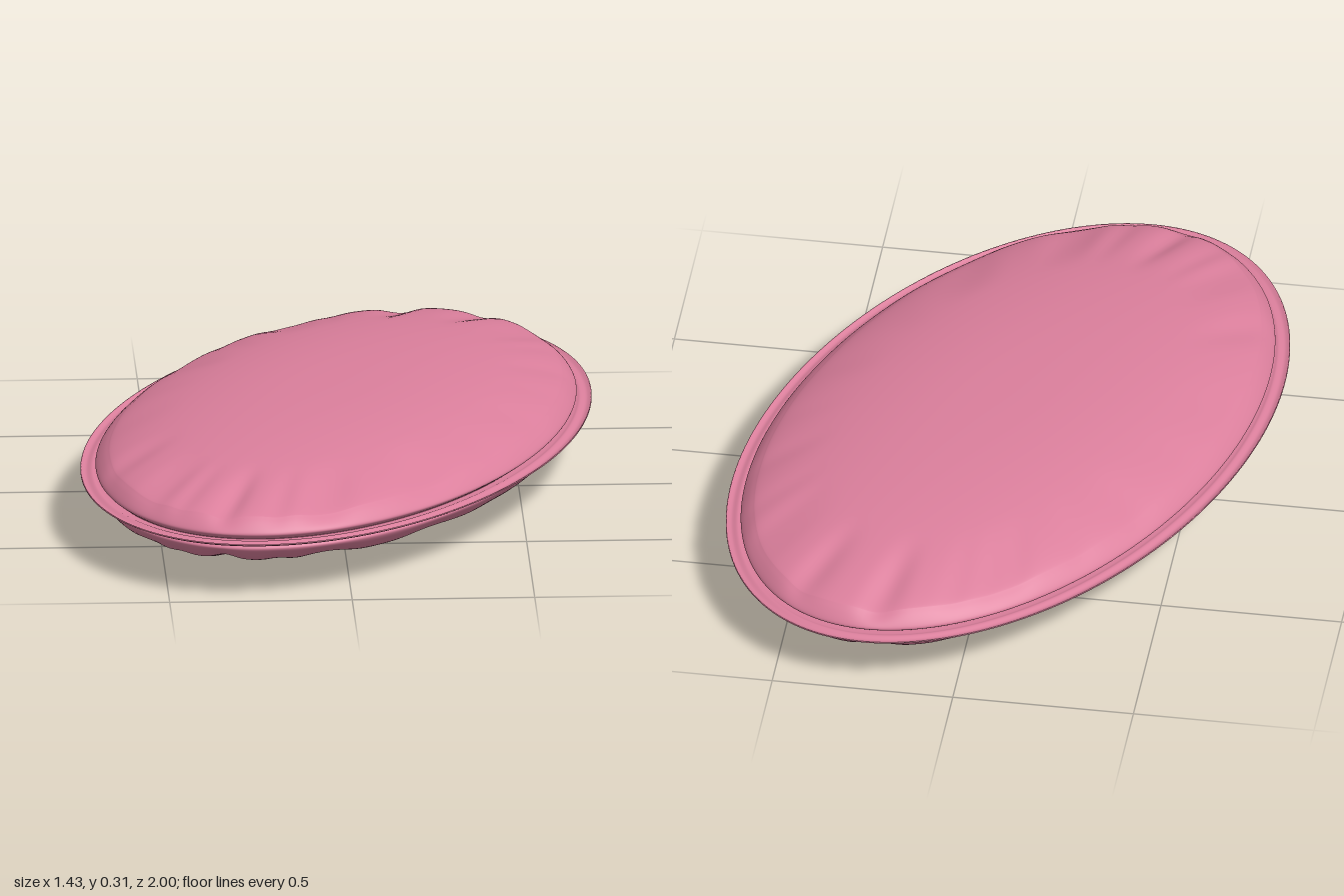
import * as THREE from 'three';
import { mergeVertices } from 'three/addons/utils/BufferGeometryUtils.js';

const MID = 0.156;          // height of the seam
const A = 1.051, B = 0.637; // semi-axes of the outer rim
const EDGE = 0.92;          // profile radius where the dome meets the rolled edge

// Gathered folds round the rim: irregular narrow creases, 0..1
function folds(t) {
  const a = Math.sin(13 * t + 1.3 * Math.sin(2 * t + 0.6));
  const b = Math.sin(21 * t + 1.7 * Math.sin(3 * t));
  const strength = 0.6 + 0.4 * Math.sin(2 * t + 1);
  return strength * (0.65 * Math.pow(0.5 + 0.5 * a, 3) + 0.35 * Math.pow(0.5 + 0.5 * b, 2));
}

// Lathe a profile, then stretch every ring to an ellipse with a constant-width border
function ellipseLathe(points, segments, wrinkle) {
  let geo = new THREE.LatheGeometry(points, segments);
  geo.deleteAttribute('uv');
  geo.deleteAttribute('normal');
  const p = geo.attributes.position;
  for (let i = 0; i < p.count; i++) {
    const x = p.getX(i), z = p.getZ(i), r = Math.hypot(x, z);
    const t = Math.atan2(x, z);
    const d = 1 - Math.max(r, EDGE), s = Math.min(r / EDGE, 1);
    let y = p.getY(i);
    if (wrinkle) {
      const reach = THREE.MathUtils.smoothstep(s, 0.68, 0.97);
      y *= 1 - 0.22 * reach * folds(t) * THREE.MathUtils.smoothstep(Math.abs(y), 0.01, 0.06);
    }
    p.setXYZ(i, s * (B - d) * Math.sin(t), y, s * (A - d) * Math.cos(t));
  }
  geo = mergeVertices(geo, 1e-5);
  geo.computeVertexNormals();
  return geo;
}

export function createModel() {
  const group = new THREE.Group();
  group.name = 'ovalCushion';
  const fabric = new THREE.MeshStandardMaterial({ color: 0xdb7f9c, side: THREE.DoubleSide });

  // Upper half of the pillow: tucked seam, rolled edge, then a shallow dome
  const edge = new THREE.SplineCurve([
    [0.938, 0.003], [0.95, 0.011], [0.958, 0.02], [0.951, 0.033], [0.935, 0.05], [EDGE, 0.062],
  ].map(([r, y]) => new THREE.Vector2(r, y))).getPoints(20);
  const half = [...edge];
  const N = 40;
  for (let i = 1; i <= N; i++) {
    const s = Math.cos((i / N) * Math.PI / 2);
    const y = 0.062 + 0.094 * Math.pow(1 - Math.pow(s, 2.5), 0.85);
    half.push(new THREE.Vector2(i === N ? 0 : EDGE * s, y));
  }
  // Both halves mirror each other across the seam
  const lower = half.map((v) => new THREE.Vector2(v.x, -v.y)).reverse();
  const body = new THREE.Mesh(ellipseLathe([...lower, ...half], 256, true), fabric);
  body.name = 'cushionBody';

  // Thin flat flange with a slightly turned-up lip
  const line = new THREE.SplineCurve([
    [0.925, 0], [0.955, 0.001], [0.968, 0.004], [0.985, -0.001], [1, 0.005],
  ].map(([r, y]) => new THREE.Vector2(r, y))).getPoints(16);
  const under = line.map((v) => new THREE.Vector2(v.x, v.y - 0.002));
  const over = line.map((v) => new THREE.Vector2(v.x, v.y + 0.002)).reverse();
  const flange = new THREE.Mesh(ellipseLathe([...under, ...over], 192, false), fabric);
  flange.name = 'flange';

  for (const mesh of [body, flange]) {
    mesh.position.y = MID;
    mesh.rotation.y = -0.398;
    group.add(mesh);
  }
  return group;
}
